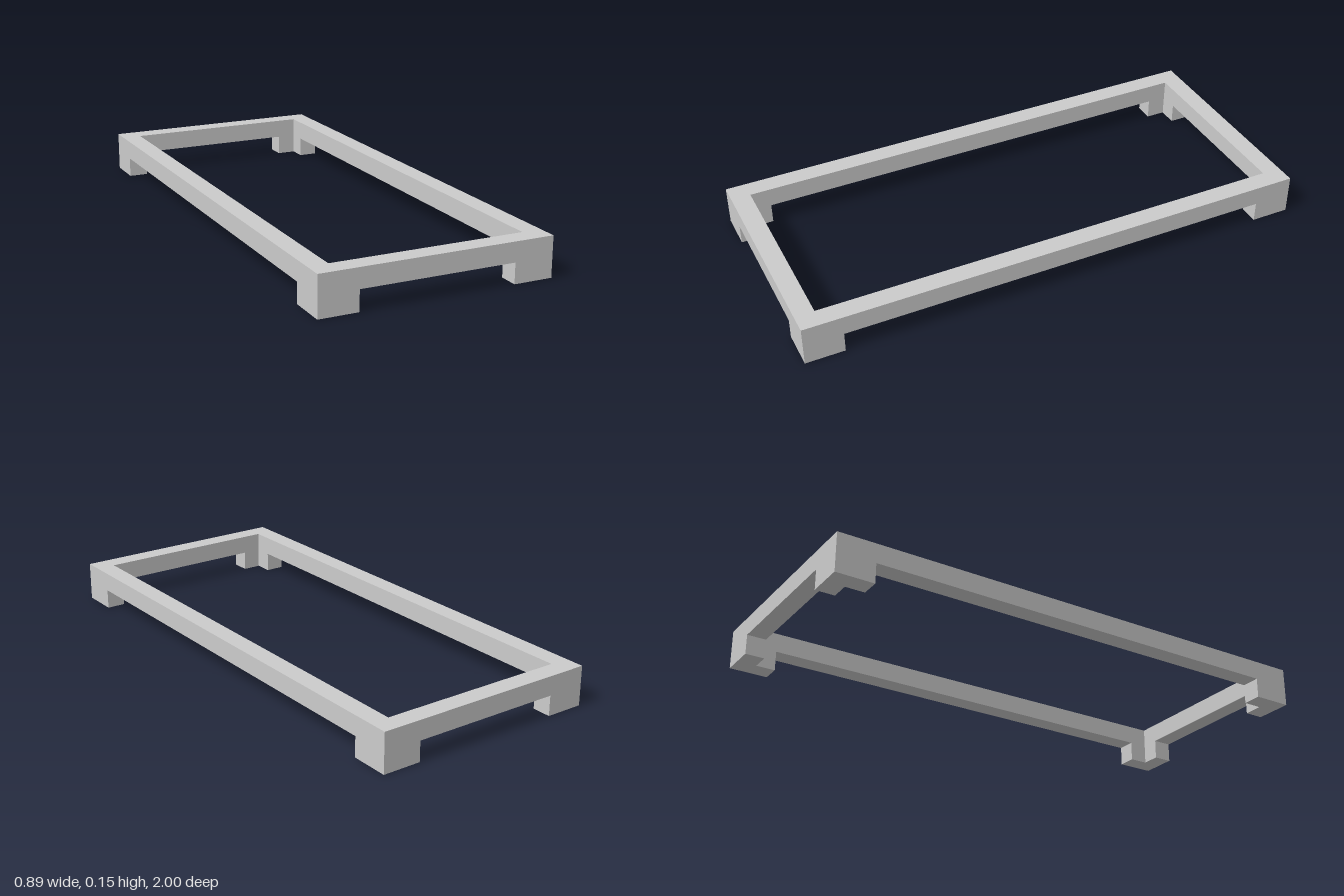
import * as THREE from 'three';

const HALF_X = 0.445, HALF_Z = 1;  // outer half sizes
const RAIL = 0.075;                // rail width
const FOOT = 0.15;                 // length of each foot arm
const UNDER = 0.078, TOP = 0.153;  // underside and top of the frame

const polygon = (points) => points.map(([x, z]) => new THREE.Vector2(x, z));
const rectangle = (x, z) => polygon([[-x, -z], [x, -z], [x, z], [-x, z]]);

// Extrudes a plan outline upwards from y0 to y1
function slab(name, shape, y0, y1, material) {
  const geometry = new THREE.ExtrudeGeometry(shape, { depth: y1 - y0, bevelEnabled: false });
  geometry.rotateX(-Math.PI / 2).translate(0, y0, 0);
  const mesh = new THREE.Mesh(geometry, material);
  mesh.name = name;
  return mesh;
}

export function createModel() {
  const group = new THREE.Group();
  group.name = 'baseFrame';
  const material = new THREE.MeshStandardMaterial({ color: 0xcccccc, flatShading: true });

  // Rectangular frame with an open middle
  const frame = new THREE.Shape(rectangle(HALF_X, HALF_Z));
  frame.holes.push(new THREE.Path(rectangle(HALF_X - RAIL, HALF_Z - RAIL)));
  group.add(slab('frame', frame, UNDER, TOP, material));

  // L-shaped foot under each corner; plan y points to the back
  for (const [side, sx] of [['Left', 1], ['Right', -1]]) {
    for (const [end, sz] of [['front', -1], ['back', 1]]) {
      const corner = [[0, 0], [FOOT, 0], [FOOT, RAIL], [RAIL, RAIL], [RAIL, FOOT], [0, FOOT]];
      const outline = corner.map(([x, z]) => [sx * (HALF_X - x), sz * (HALF_Z - z)]);
      group.add(slab(`${end}${side}Foot`, new THREE.Shape(polygon(outline)), 0, UNDER, material));
    }
  }
  return group;
}
